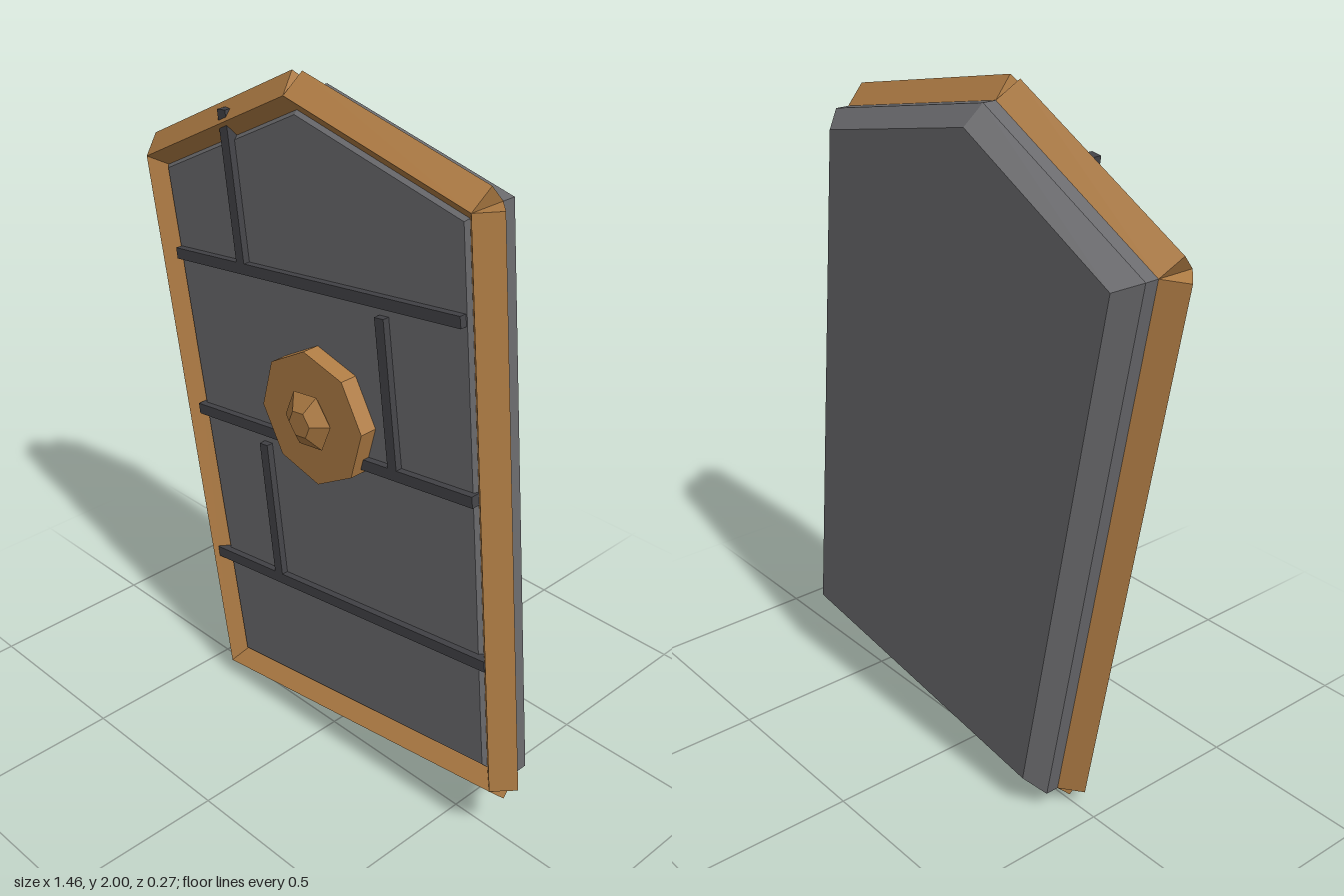
import * as THREE from 'three';

export function createModel() {
  const group = new THREE.Group();
  const material = (name, color) => {
    const m = new THREE.MeshStandardMaterial({ color, flatShading: true });
    m.name = name;
    return m;
  };
  const wood = material('wood', 0xaf7c44);
  const slate = material('slate', 0x6a6a6d);
  const iron = material('darkIron', 0x434347);

  const add = (name, geometry, mat, x = 0, y = 0, z = 0, angle = 0) => {
    const mesh = new THREE.Mesh(geometry, mat);
    mesh.name = name;
    mesh.position.set(x, y, z);
    mesh.rotation.z = angle;
    group.add(mesh);
    return mesh;
  };

  // Place a piece made along y between two points of the front plane
  const addBetween = (name, make, mat, [x1, y1], [x2, y2], z) => {
    const dx = x2 - x1, dy = y2 - y1;
    add(name, make(Math.hypot(dx, dy)), mat,
      (x1 + x2) / 2, (y1 + y2) / 2, z, Math.atan2(dy, dx) - Math.PI / 2);
  };

  // Five-sided outline shared by the panel and the frame
  const outline = [
    [-0.392, 0.057], [0.673, 0.208], [0.515, 1.815], [-0.11, 1.945], [-0.679, 1.647],
  ];

  // Panel, chamfered on both faces
  const shape = new THREE.Shape(outline.map(([x, y]) => new THREE.Vector2(x, y)));
  const panel = new THREE.ExtrudeGeometry(shape, {
    depth: 0.065, bevelEnabled: true, bevelSegments: 1,
    bevelThickness: 0.055, bevelSize: 0.05, bevelOffset: -0.05,
  });
  add('panel', panel, slate, 0, 0, -0.08);

  // Frame of diamond-section rails
  const rail = (length) => new THREE.CylinderGeometry(0.055, 0.055, length, 4);
  outline.forEach((p, i) =>
    addBetween('frameRail', rail, wood, p, outline[(i + 1) % outline.length], 0.015));

  // Joint strips on the front face
  const strip = (length) => new THREE.BoxGeometry(0.032, length, 0.04);
  const strips = [
    [[-0.579, 1.384], [0.489, 1.532]],
    [[-0.51, 0.913], [0.553, 1.063]],
    [[-0.447, 0.439], [0.622, 0.593]],
    [[-0.362, 1.85], [-0.304, 1.431]],
    [[0.22, 1.452], [0.278, 1.029]],
    [[-0.2275, 0.907], [-0.172, 0.484]],
  ];
  strips.forEach(([a, b]) => addBetween('jointStrip', strip, iron, a, b, 0.04));

  // Central boss: octagonal plate and faceted hexagonal knob
  const tilt = THREE.MathUtils.degToRad(8.1);
  const disc = (front, back, depth, sides) =>
    new THREE.CylinderGeometry(front, back, depth, sides).rotateX(Math.PI / 2);
  const cx = 0.005, cy = 1.093;
  add('bossPlate', disc(0.193, 0.193, 0.06, 8), wood, cx, cy, 0.062, tilt);
  add('knobFront', disc(0.04, 0.088, 0.032, 6), wood, cx, cy, 0.119, tilt + Math.PI / 6);
  add('knobBack', disc(0.088, 0.06, 0.02, 6), wood, cx, cy, 0.093, tilt + Math.PI / 6);

  return group;
}
